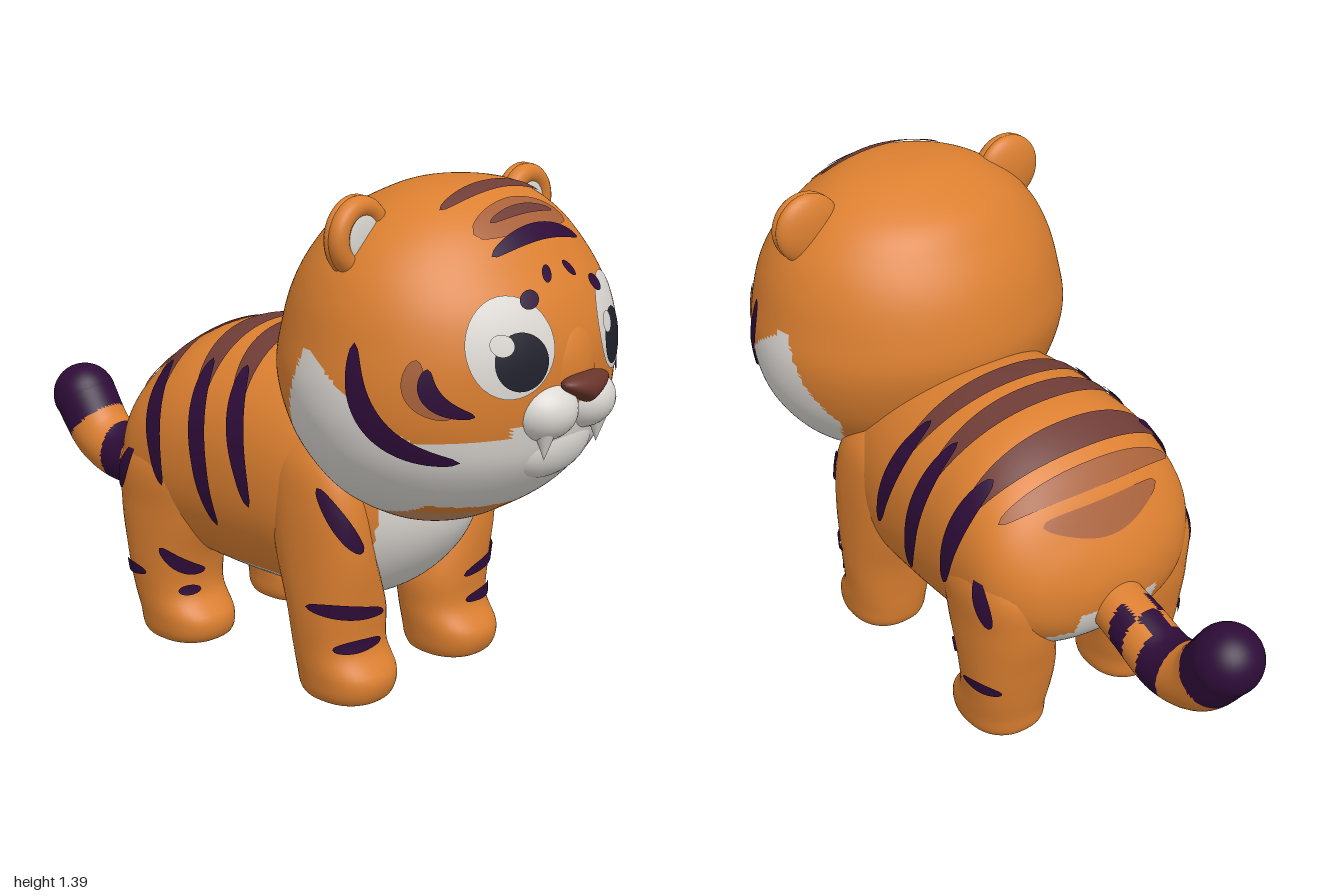
import * as THREE from 'three';
import { mergeVertices } from 'three/addons/utils/BufferGeometryUtils.js';

const PI = Math.PI;
const V = (x, y, z) => new THREE.Vector3(x, y, z);
const material = (name, color) => {
  const m = new THREE.MeshStandardMaterial({ color, side: THREE.DoubleSide });
  m.name = name;
  return m;
};

// Smooth grid surface from a rule (u, v) -> point
function surface(nu, nv, fn) {
  const pos = [], index = [];
  for (let i = 0; i <= nu; i++) for (let j = 0; j <= nv; j++) pos.push(...fn(i / nu, j / nv).toArray());
  for (let i = 0; i < nu; i++) for (let j = 0; j < nv; j++) {
    const a = i * (nv + 1) + j, b = a + nv + 1;
    index.push(a, b, b + 1, a, b + 1, a + 1);
  }
  let g = new THREE.BufferGeometry();
  g.setAttribute('position', new THREE.Float32BufferAttribute(pos, 3));
  g.setIndex(index);
  g = mergeVertices(g, 1e-5);
  g.computeVertexNormals();
  return g;
}

// Sort triangles into material groups by a rule on their centre
function paint(g, count, rule) {
  const p = g.attributes.position, idx = g.index.array, lists = Array.from({ length: count }, () => []);
  const a = V(), b = V(), c = V();
  for (let i = 0; i < idx.length; i += 3) {
    a.fromBufferAttribute(p, idx[i]);
    b.fromBufferAttribute(p, idx[i + 1]);
    c.fromBufferAttribute(p, idx[i + 2]);
    a.add(b).add(c).divideScalar(3);
    lists[rule(a.x, a.y, a.z)].push(idx[i], idx[i + 1], idx[i + 2]);
  }
  g.setIndex(lists.flat());
  let start = 0;
  lists.forEach((l, k) => { g.addGroup(start, l.length, k); start += l.length; });
  return g;
}

// Catmull-Rom through cross-section rows
function rowAt(rows, t) {
  const f = t * (rows.length - 1), i = Math.min(Math.floor(f), rows.length - 2), u = f - i;
  const get = k => rows[Math.max(0, Math.min(rows.length - 1, k))];
  return rows[0].map((_, c) => {
    const p0 = get(i - 1)[c], p1 = get(i)[c], p2 = get(i + 1)[c], p3 = get(i + 2)[c];
    const m1 = (p2 - p0) / 2, m2 = (p3 - p1) / 2;
    return p1 + u * (m1 + u * (3 * (p2 - p1) - 2 * m1 - m2 + u * (2 * (p1 - p2) + m1 + m2)));
  });
}
// Value in [lo, hi] where a test turns from true to false
function bisect(lo, hi, below) {
  for (let k = 0; k < 24; k++) { const m = (lo + hi) / 2; if (below(m)) lo = m; else hi = m; }
  return (lo + hi) / 2;
}
const tAt = (rows, s) => bisect(0, 1, t => rowAt(rows, t)[0] < s);
// Superellipse section; rows are [position, a0, a1, b0, b1]
function section(rows, n, t, phi, lift = 0) {
  const [s, a0, a1, b0, b1] = rowAt(rows, t);
  const pw = v => Math.sign(v) * Math.abs(v) ** (2 / n);
  return [(a0 + a1) / 2 + ((a1 - a0) / 2 + lift) * pw(Math.cos(phi)), s,
    (b0 + b1) / 2 + ((b1 - b0) / 2 + lift) * pw(Math.sin(phi))];
}

// Tapered stripe along a quadratic curve, and an oval, laid on a surface map
function stripe(map, [p0, p1, p2], width) {
  const c = new THREE.QuadraticBezierCurve(...[p0, p1, p2].map(p => new THREE.Vector2(...p)));
  return surface(30, 4, (u, v) => {
    const p = c.getPoint(u), d = c.getTangent(u), h = width * Math.sin(PI * u) ** 0.45 * (v - 0.5);
    return map(p.x - d.y * h, p.y + d.x * h);
  });
}
function oval(map, cx, cy, rx, ry, turn = 0) {
  const cs = Math.cos(turn), sn = Math.sin(turn);
  return surface(7, 36, (u, v) => {
    const a = rx * u * Math.cos(2 * PI * v), b = ry * u * Math.sin(2 * PI * v);
    return map(cx + a * cs - b * sn, cy + a * sn + b * cs);
  });
}

export function createModel() {
  const orange = material('orange fur', 0xdb7f30), white = material('white fur', 0xdcd8d3);
  const purple = material('dark purple stripe', 0x2e0c38), brown = material('faded stripe', 0x6f3c36);
  const rust = material('faint stripe', 0xa8613a), tan = material('throat tan', 0xc48a5e);
  const noseBrown = material('nose brown', 0x69342a), black = material('pupil black', 0x20212d);
  const model = new THREE.Group(), half = new THREE.Group();
  const add = (parent, name, g, m, p = [0, 0, 0], s = [1, 1, 1]) => {
    const mesh = new THREE.Mesh(g, m);
    mesh.name = name;
    mesh.position.set(...p);
    mesh.scale.set(...s);
    parent.add(mesh);
    return mesh;
  };
  const ball = new THREE.SphereGeometry(1, 32, 20);

  // Head: rows of y, half width, back z, front z
  const headRows = [
    [0.5, 0, 0.55, 0.55], [0.51, 0.13, 0.44, 0.64], [0.55, 0.235, 0.36, 0.72], [0.62, 0.345, 0.27, 0.82],
    [0.72, 0.425, 0.19, 0.9], [0.82, 0.465, 0.145, 0.93], [0.92, 0.475, 0.12, 0.942], [1.02, 0.46, 0.13, 0.94],
    [1.12, 0.435, 0.16, 0.908], [1.21, 0.39, 0.21, 0.85], [1.29, 0.315, 0.275, 0.787], [1.35, 0.215, 0.38, 0.71],
    [1.378, 0.11, 0.46, 0.65], [1.385, 0, 0.565, 0.565]].map(([y, w, b, f]) => [y, -w, w, b, f]);
  const HN = 1.95;
  const headGeo = surface(140, 160, (u, v) => V(...section(headRows, HN, u, 2 * PI * v)));
  add(model, 'head', paint(headGeo, 3, (x, y, z) => {
    const back = 0.34 + Math.max(0, (y - 0.74) * 0.4) + Math.max(0, (0.74 - y) * 0.6);
    const rise = 0.35 * x * x;
    if (z > 0.5 && Math.abs(x) < 0.28 && y < 0.59 + rise) return y < 0.565 + rise ? 2 : 0;
    const edge = (Math.abs(x) < 0.2 && z > 0.6 ? 0.84 : 0.81) + Math.max(0, 0.75 - z) * 0.72;
    return z > back && y < Math.min(edge, 1.01) ? 1 : 0;
  }), [orange, white, tan]);

  // Projections onto the head from the front, the side and above
  const arc = (d, r) => Math.max(0, 1 - Math.min(1, Math.abs(d) / r) ** HN) ** (1 / HN);
  const onFace = lift => (x, y) => {
    const [, , w, b, f] = rowAt(headRows, tAt(headRows, y));
    return V(x, y, (b + f) / 2 + ((f - b) / 2 + lift) * arc(x, w + lift));
  };
  const onCheek = lift => (z, y) => {
    const [, , w, b, f] = rowAt(headRows, tAt(headRows, y));
    return V((w + lift) * arc(z - (b + f) / 2, (f - b) / 2 + lift), y, z);
  };
  const onCrown = lift => (x, z) => V(x, bisect(1, 1.3849, y => onFace(0)(x, y).z > z) + lift, z + lift / 2);

  // Eyes, brow marks and cheek stripes
  add(half, 'eyeWhite', oval(onFace(0.005), 0.202, 1.036, 0.108, 0.122, 0.25), white);
  add(half, 'pupil', oval(onFace(0.008), 0.188, 1.003, 0.069, 0.071), black);
  add(half, 'browMark', oval(onFace(0.009), 0.135, 1.143, 0.03, 0.019, -0.4), purple);
  add(half, 'foreheadSpot', oval(onFace(0.006), 0.046, 1.19, 0.023, 0.013, -0.8), purple);
  add(half, 'outerCheekStripe', stripe(onCheek(0.006), [[0.61, 1.05], [0.62, 0.8], [0.82, 0.76]], 0.06), purple);
  add(half, 'innerCheekShade', stripe(onCheek(0.004), [[0.75, 1.02], [0.735, 0.92], [0.82, 0.88]], 0.055), rust);
  add(half, 'innerCheekStripe', stripe(onCheek(0.007), [[0.775, 1.0], [0.765, 0.91], [0.855, 0.88]], 0.04), purple);
  for (const s of [-1, 1]) add(model, 'eyeHighlight', oval(onFace(0.01), s * 0.188 - 0.048, 1.048, 0.028, 0.026), white);

  // Forehead stripes
  add(model, 'foreheadShade', stripe(onCrown(0.003), [[-0.18, 0.745], [0, 0.765], [0.18, 0.745]], 0.085), rust);
  add(model, 'foreheadStripeLow', stripe(onCrown(0.007), [[-0.175, 0.795], [0, 0.81], [0.175, 0.795]], 0.032), purple);
  add(model, 'foreheadStripeMiddle', stripe(onCrown(0.007), [[-0.125, 0.75], [0, 0.752], [0.125, 0.75]], 0.026), brown);
  add(model, 'foreheadStripeTop', stripe(onCrown(0.005), [[-0.2, 0.655], [0, 0.665], [0.2, 0.655]], 0.045), brown);

  // Snout, nose, muzzle, chin and fangs
  add(model, 'snoutBridge', ball, orange, [0, 0.955, 0.865], [0.12, 0.15, 0.092]);
  add(model, 'chin', ball, white, [0, 0.765, 0.845], [0.17, 0.1, 0.08]);
  const noseGeo = ball.clone(), np = noseGeo.attributes.position;
  for (let i = 0; i < np.count; i++) np.setX(i, np.getX(i) * (1 + 0.9 * np.getY(i)));
  noseGeo.computeVertexNormals();
  add(model, 'nose', noseGeo, noseBrown, [0, 0.916, 0.96], [0.07, 0.038, 0.04]);
  add(half, 'muzzle', ball, white, [0.08, 0.863, 0.888], [0.096, 0.079, 0.092]);
  add(half, 'fang', new THREE.ConeGeometry(0.03, 0.08, 20), white, [0.11, 0.785, 0.925]).rotation.x = PI;

  // Ears
  const ear = new THREE.Group();
  ear.name = 'ear';
  ear.position.set(0.335, 1.275, 0.505);
  add(ear, 'earBack', ball, orange, [0, 0, -0.003], [0.099, 0.101, 0.038]);
  add(ear, 'earRim', new THREE.TorusGeometry(0.073, 0.027, 16, 40), orange, [0, 0, 0.014]);
  add(ear, 'innerEar', ball, white, [0, 0, 0.031], [0.056, 0.056, 0.006]);
  half.add(ear);

  // Body: rows of z, half width, bottom y, top y
  const bodyRows = [
    [-0.485, 0, 0.5, 0.5], [-0.475, 0.12, 0.43, 0.57], [-0.43, 0.25, 0.35, 0.67], [-0.34, 0.335, 0.28, 0.8],
    [-0.2, 0.358, 0.23, 0.895], [-0.05, 0.357, 0.212, 0.92], [0.1, 0.355, 0.208, 0.92], [0.25, 0.345, 0.212, 0.9],
    [0.38, 0.31, 0.24, 0.85], [0.49, 0.215, 0.33, 0.76], [0.56, 0.11, 0.43, 0.66], [0.585, 0, 0.53, 0.53],
  ].map(([z, w, b, t]) => [z, -w, w, b, t]);
  const body = (t, phi, lift) => { const [x, z, y] = section(bodyRows, 2.2, t, phi, lift); return V(x, y, z); };
  add(model, 'body', paint(surface(110, 100, (u, v) => body(u, -2 * PI * v)), 2, (x, y, z) => {
    const chest = z > 0.34 && Math.abs(x) < 0.215 && y < 0.64;
    const rump = z < -0.3 && ((Math.abs(x) < 0.13 && y < 0.46) || (Math.abs(x) < 0.2 && y < 0.39));
    return chest || rump || y < 0.28 ? 1 : 0;
  }), [orange, white]);

  // Back stripes: faded over the spine, dark down the flanks
  const onBack = lift => (p, z) => body(tAt(bodyRows, z), PI / 2 - p / 0.36, lift);
  for (const [zTop, zEnd, end] of [[0.03, 0.165, 1.7], [-0.09, 0.03, 1.95], [-0.25, -0.165, 1.75]]) {
    const z = a => zTop + (zEnd - zTop) * (a / end) ** 2, k = 0.36, c = 1.15, m = (0.7 + end) / 2;
    add(model, 'spineStripe', stripe(onBack(0.005), [[-c * k, z(c)], [0, 2 * zTop - z(c)], [c * k, z(c)]], 0.08), brown);
    add(half, 'flankStripe', stripe(onBack(0.009), [[0.7 * k, z(0.7)], [m * k, z(m) - 0.01], [end * k, zEnd]], 0.06), purple);
  }
  for (const [z, reach] of [[-0.345, 0.33], [-0.415, 0.22]])
    add(model, 'rumpBand', stripe(onBack(0.005), [[-reach, z + 0.035], [0, z - 0.035], [reach, z + 0.035]], 0.05), rust);

  // Legs: rows of y, inner x, outer x, back z, front z
  const frontRows = [
    [0, 0.215, 0.215, 0.39, 0.39], [0.004, 0.13, 0.3, 0.3, 0.48], [0.025, 0.105, 0.33, 0.27, 0.512],
    [0.08, 0.095, 0.34, 0.258, 0.52], [0.15, 0.09, 0.345, 0.25, 0.475], [0.25, 0.09, 0.354, 0.235, 0.475],
    [0.4, 0.15, 0.357, 0.2, 0.485], [0.55, 0.18, 0.354, 0.19, 0.47], [0.66, 0.2, 0.335, 0.22, 0.42], [0.75, 0.27, 0.27, 0.32, 0.32]];
  const hindRows = [
    [0, 0.215, 0.215, -0.22, -0.22], [0.004, 0.13, 0.3, -0.31, -0.13], [0.025, 0.105, 0.33, -0.345, -0.09],
    [0.08, 0.1, 0.34, -0.355, -0.085], [0.15, 0.095, 0.345, -0.37, -0.135], [0.25, 0.09, 0.354, -0.39, -0.13],
    [0.4, 0.11, 0.358, -0.415, -0.08], [0.55, 0.15, 0.354, -0.395, -0.07], [0.72, 0.26, 0.26, -0.22, -0.22]];
  const onLeg = rows => (p, y) => V(...section(rows, 2.3, tAt(rows, y), p / 0.13, 0.006));
  const legStripe = (name, rows, pts, width) =>
    add(half, name, stripe(onLeg(rows), pts.map(([phi, y]) => [phi * 0.13, y]), width), purple);
  for (const [name, rows] of [['frontLeg', frontRows], ['hindLeg', hindRows]])
    add(half, name, surface(48, 40, (u, v) => V(...section(rows, 2.3, u, 2 * PI * v))), orange);
  legStripe('shoulderStripe', frontRows, [[1.5, 0.44], [1, 0.5], [0.5, 0.61]], 0.06);
  legStripe('upperFrontLegStripe', frontRows, [[0.1, 0.285], [1, 0.285], [1.9, 0.245]], 0.042);
  legStripe('lowerFrontLegStripe', frontRows, [[0.65, 0.17], [1.2, 0.175], [1.8, 0.17]], 0.036);
  legStripe('upperHindLegStripe', hindRows, [[1.5, 0.22], [0.9, 0.235], [0.4, 0.3]], 0.042);
  legStripe('lowerHindLegStripe', hindRows, [[0.85, 0.165], [1.1, 0.17], [1.4, 0.165]], 0.03);
  legStripe('backHindLegStripe', hindRows, [[0.1, 0.215], [-0.4, 0.22], [-0.9, 0.205]], 0.038);
  legStripe('hipStripe', hindRows, [[-0.6, 0.44], [-0.5, 0.5], [-0.4, 0.585]], 0.045);

  // Tail: thickening tube with dark bands and a round dark tip
  const path = new THREE.CatmullRomCurve3([V(0, 0.46, -0.4), V(0, 0.42, -0.55), V(0, 0.38, -0.69), V(0, 0.42, -0.81), V(0, 0.535, -0.903)]);
  const tailGeo = surface(70, 48, (u, v) => {
    const p = path.getPoint(u), X = V(1, 0, 0), N = X.clone().cross(path.getTangent(u)), r = 0.077 + 0.019 * u;
    return p.addScaledVector(X, r * Math.cos(2 * PI * v)).addScaledVector(N, r * Math.sin(2 * PI * v));
  });
  add(model, 'tail', paint(tailGeo, 2, (x, y, z) => {
    const tip = y - z > 1.303;
    const ring = z < -0.65 && z > -0.735;
    const patch = z < -0.53 && z > -0.59 && Math.abs(x) > 0.035;
    const bridge = z <= -0.59 && z > -0.66 && Math.abs(x) < 0.035 && y > 0.4;
    return tip || ring || patch || bridge ? 1 : 0;
  }), [orange, purple]);
  add(model, 'tailTip', ball, purple, [0, 0.535, -0.903], [0.097, 0.097, 0.097]);

  // Mirror the paired parts
  half.name = 'leftParts';
  const right = half.clone();
  right.name = 'rightParts';
  right.scale.x = -1;
  model.add(half, right);
  return model;
}
